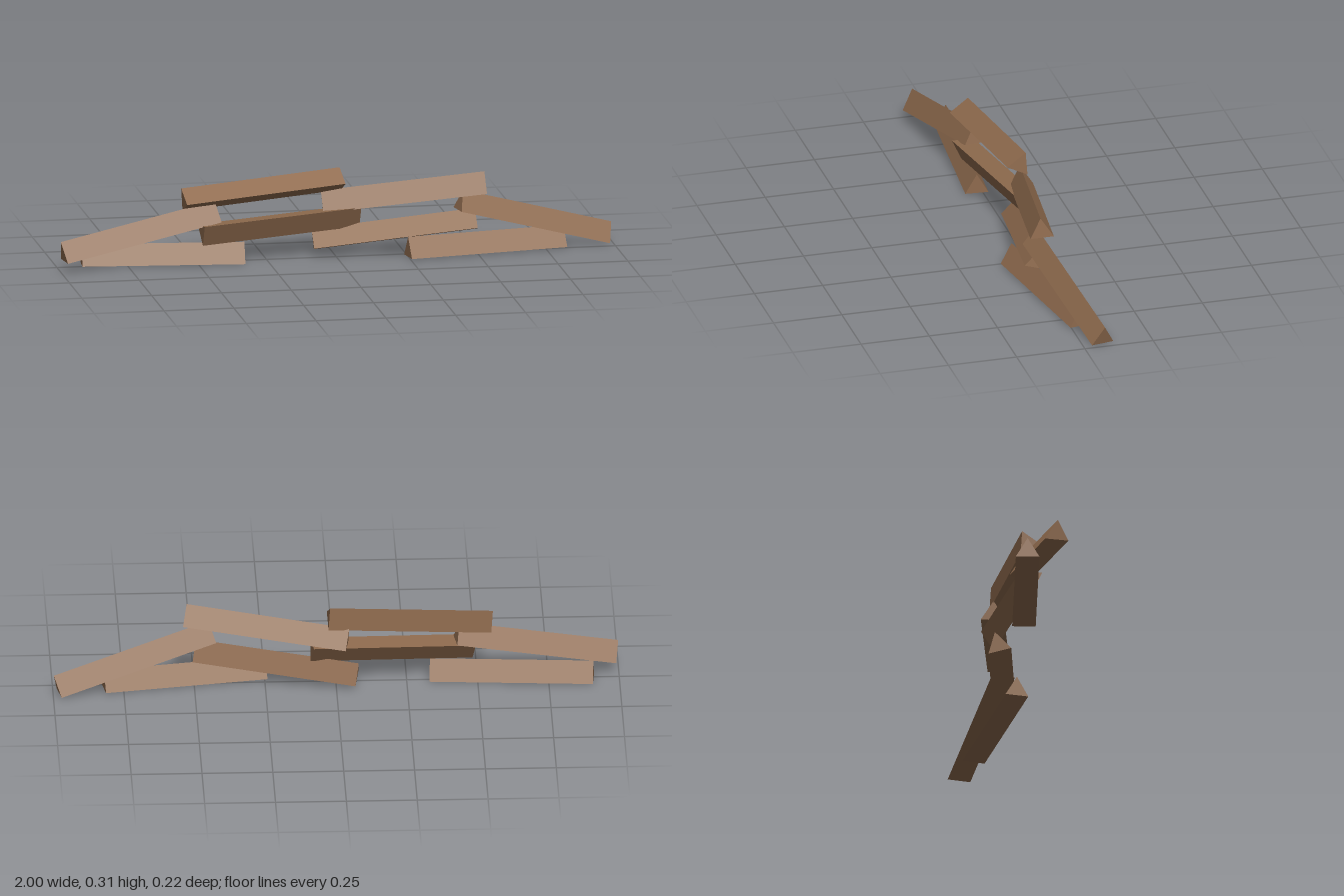
import * as THREE from 'three';

const RADIUS = 0.048; // centre to corner of the triangular section

// Triangular beam between two end centres; roll turns its section about its length
function beam(name, from, to, rollDegrees, material) {
  const start = new THREE.Vector3(...from);
  const along = new THREE.Vector3(...to).sub(start);
  const length = along.length();
  along.normalize();
  const side = new THREE.Vector3(0, 1, 0).cross(along).normalize();
  const up = along.clone().cross(side);

  const corners = [90, 210, 330].map((deg) => {
    const a = THREE.MathUtils.degToRad(deg + rollDegrees);
    return new THREE.Vector2(RADIUS * Math.cos(a), RADIUS * Math.sin(a));
  });
  const geometry = new THREE.ExtrudeGeometry(new THREE.Shape(corners), {
    depth: length, steps: 1, bevelEnabled: false,
  });
  geometry.applyMatrix4(new THREE.Matrix4().makeBasis(side, up, along).setPosition(start));

  const mesh = new THREE.Mesh(geometry, material);
  mesh.name = name;
  return mesh;
}

export function createModel() {
  const wood = new THREE.MeshStandardMaterial({ color: 0x8f6b4e, flatShading: true });
  wood.name = 'brown wood';

  // name, +x end centre, -x end centre, roll
  const beams = [
    // ground beams
    ['rightGroundBeam', [-0.333, 0.024, 0.022], [-0.908, 0.027, -0.025], 0],
    ['leftGroundBeam', [0.82, 0.027, -0.037], [0.247, 0.027, 0.058], 0],
    // leaning end beams
    ['rightLeaningBeam', [-0.427, 0.173, 0.001], [-0.99, 0.061, 0.071], 0],
    ['leftLeaningBeam', [0.985, 0.026, -0.072], [0.436, 0.183, 0.028], 0],
    // middle beams
    ['rightMiddleBeam', [0.087, 0.145, -0.044], [-0.487, 0.114, 0.032], 65],
    ['leftMiddleBeam', [0.497, 0.115, 0.032], [-0.075, 0.046, -0.042], 14],
    // top beams
    ['rightTopBeam', [0.027, 0.267, -0.036], [-0.549, 0.224, 0.014], 27],
    ['leftTopBeam', [0.531, 0.247, 0.027], [-0.04, 0.182, -0.057], -4],
  ];

  const model = new THREE.Group();
  model.name = 'beamPile';
  for (const [name, from, to, roll] of beams) model.add(beam(name, from, to, roll, wood));
  return model;
}
